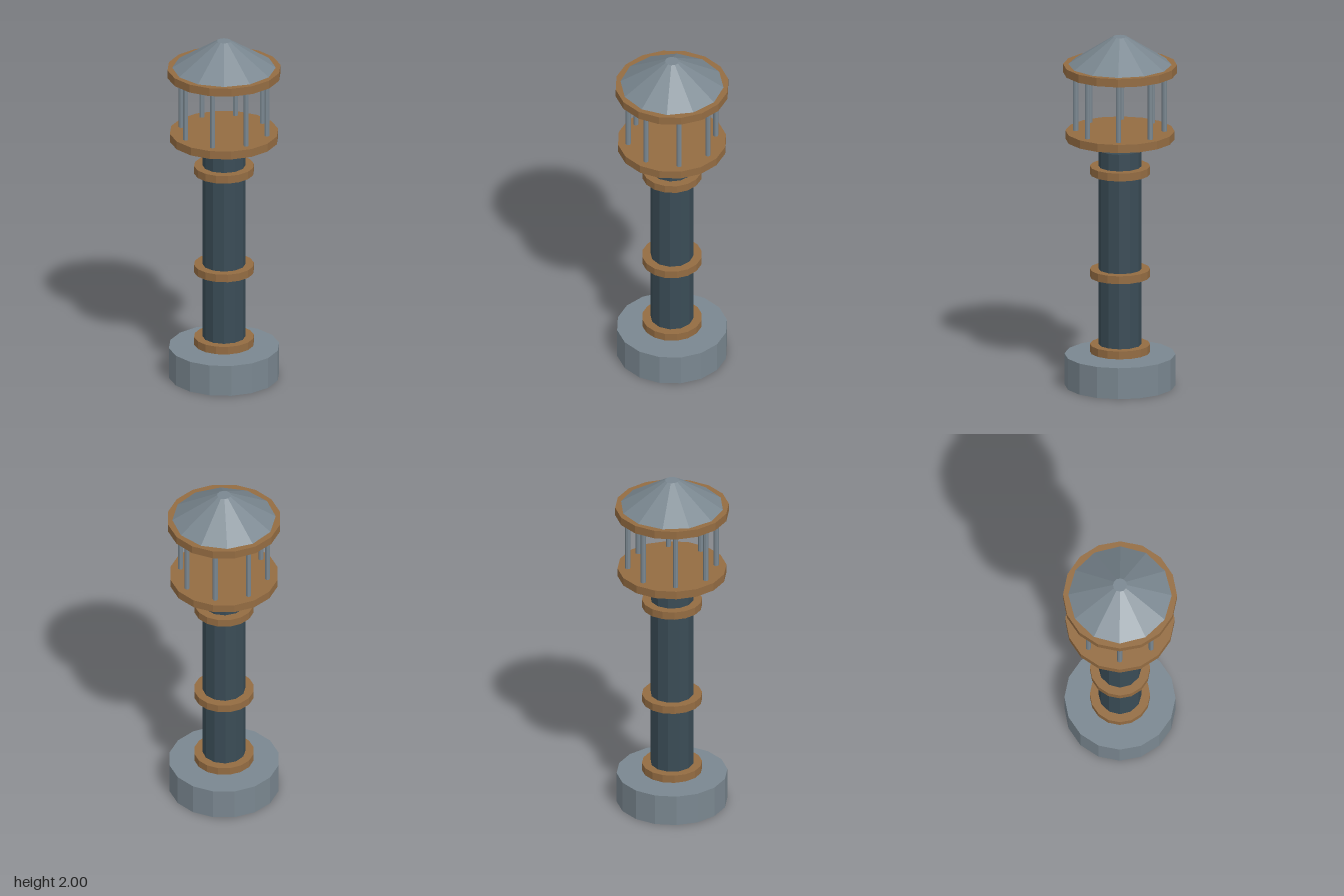
import * as THREE from 'three';

const flat = (name, color) => {
  const m = new THREE.MeshStandardMaterial({ color, flatShading: true });
  m.name = name;
  return m;
};

export function createModel() {
  const stone = flat('grey stone', 0x7a8790);
  const timber = flat('brown timber', 0x946c42);
  const slate = flat('dark slate', 0x3a4c56);
  const model = new THREE.Group();
  model.name = 'lanternTower';

  // Upright faceted drum between two heights
  const drum = (name, material, y0, y1, rBottom, sides, rTop = rBottom) => {
    const mesh = new THREE.Mesh(new THREE.CylinderGeometry(rTop, rBottom, y1 - y0, sides), material);
    mesh.name = name;
    mesh.position.y = (y0 + y1) / 2;
    model.add(mesh);
    return mesh;
  };

  // Foot and column
  drum('base', stone, 0, 0.178, 0.308, 16);
  drum('shaft', slate, 0.17, 1.353, 0.12, 12);

  // Bands around the column
  for (const [name, y] of [['lowerBand', 0.213], ['middleBand', 0.645], ['upperBand', 1.235]]) {
    drum(name, timber, y - 0.0225, y + 0.0225, 0.167, 16);
  }

  // Gallery floor on its collar
  drum('galleryCollar', timber, 1.385, 1.42, 0.167, 16);
  drum('galleryFloor', timber, 1.412, 1.459, 0.303, 16);

  // Ring of posts
  for (let i = 0; i < 8; i++) {
    const a = (i * Math.PI) / 4;
    const post = drum('post', stone, 1.45, 1.8, 0.0145, 8);
    post.position.x = 0.246 * Math.sin(a);
    post.position.z = 0.246 * Math.cos(a);
  }

  // Roof plate and truncated cone
  drum('roofPlate', timber, 1.793, 1.84, 0.316, 16);
  drum('roof', stone, 1.838, 2, 0.29, 12, 0.039);

  return model;
}
